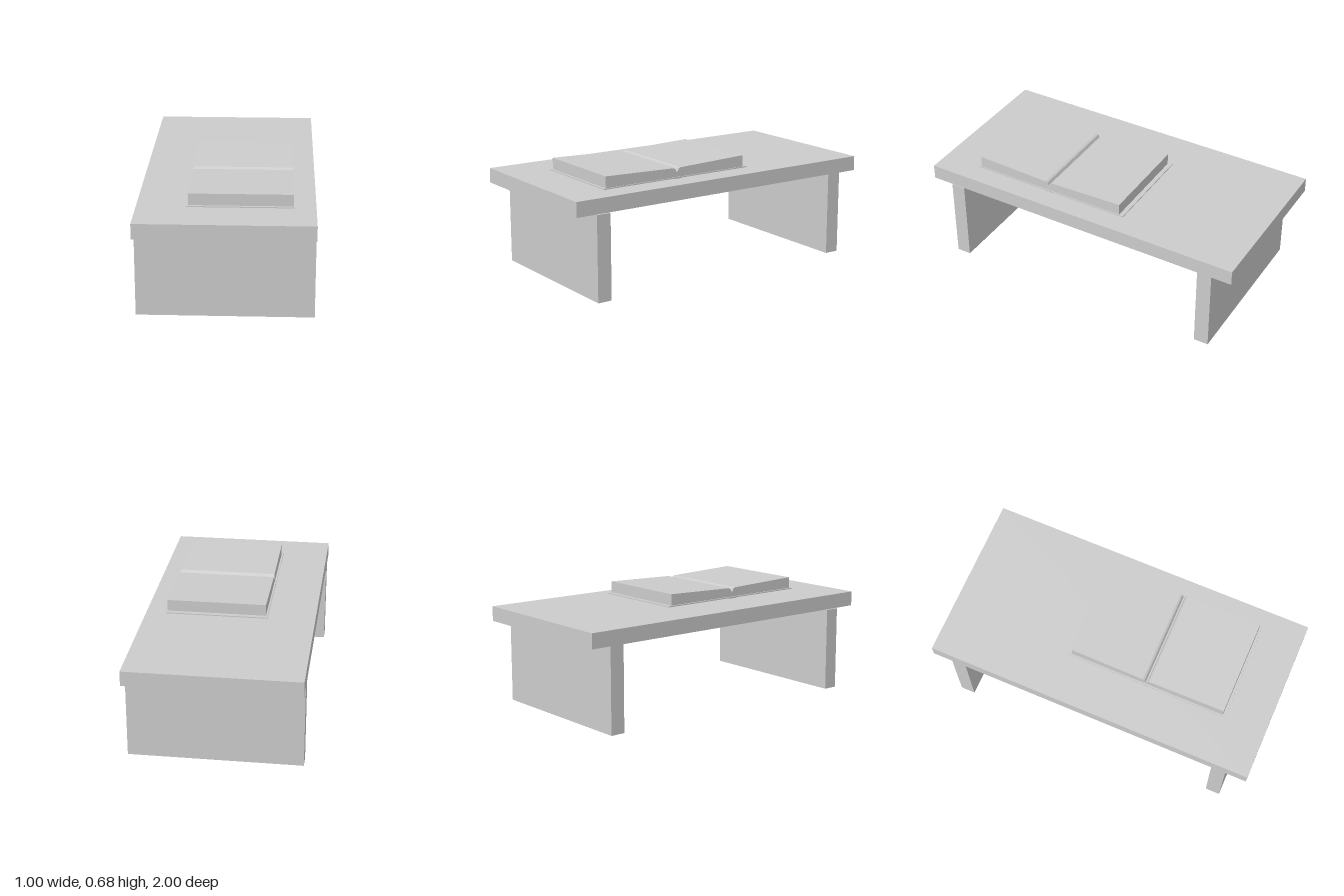
import * as THREE from 'three';

const material = new THREE.MeshStandardMaterial({ color: 0xcccccc, flatShading: true });

// Box given by its minimum and maximum on each axis
function box(name, [x0, x1], [y0, y1], [z0, z1]) {
  const mesh = new THREE.Mesh(new THREE.BoxGeometry(x1 - x0, y1 - y0, z1 - z0), material);
  mesh.name = name;
  mesh.position.set((x0 + x1) / 2, (y0 + y1) / 2, (z0 + z1) / 2);
  return mesh;
}

// Side profile of [z, y] points, extruded along x
function extrudeX(name, points, x0, x1) {
  const shape = new THREE.Shape(points.map(([z, y]) => new THREE.Vector2(-z, y)));
  const geometry = new THREE.ExtrudeGeometry(shape, { depth: x1 - x0, bevelEnabled: false });
  geometry.rotateY(Math.PI / 2).translate(x0, 0, 0);
  const mesh = new THREE.Mesh(geometry, material);
  mesh.name = name;
  return mesh;
}

export function createModel() {
  const model = new THREE.Group();
  model.name = 'tableWithBook';

  // Table: thick top on two full-width slab legs
  const table = new THREE.Group();
  table.name = 'table';
  table.add(
    box('tableTop', [-0.5, 0.5], [0.506, 0.594], [-1, 1]),
    box('frontLeg', [-0.5, 0.5], [0, 0.502], [0.785, 0.872]),
    box('backLeg', [-0.5, 0.5], [0.005, 0.506], [-0.878, -0.79]),
  );

  // Open book: two thin covers, a sunken spine and the page block
  const book = new THREE.Group();
  book.name = 'openBook';
  book.add(
    box('frontCover', [-0.22, 0.38], [0.601, 0.607], [0.28, 0.75]),
    box('backCover', [-0.22, 0.38], [0.601, 0.607], [-0.247, 0.215]),
    extrudeX('spine', [
      [0.295, 0.607], [0.28, 0.598], [0.225, 0.598], [0.21, 0.607],
    ], -0.22, 0.38),
    // Page tops slope gently to the middle, then fall into the gutter
    extrudeX('pages', [
      [0.735, 0.607], [0.735, 0.675], [0.277, 0.661], [0.266, 0.655], [0.258, 0.638],
      [0.25, 0.638], [0.242, 0.655], [0.231, 0.661], [-0.22, 0.675], [-0.22, 0.607],
    ], -0.21, 0.374),
  );

  model.add(table, book);
  return model;
}
